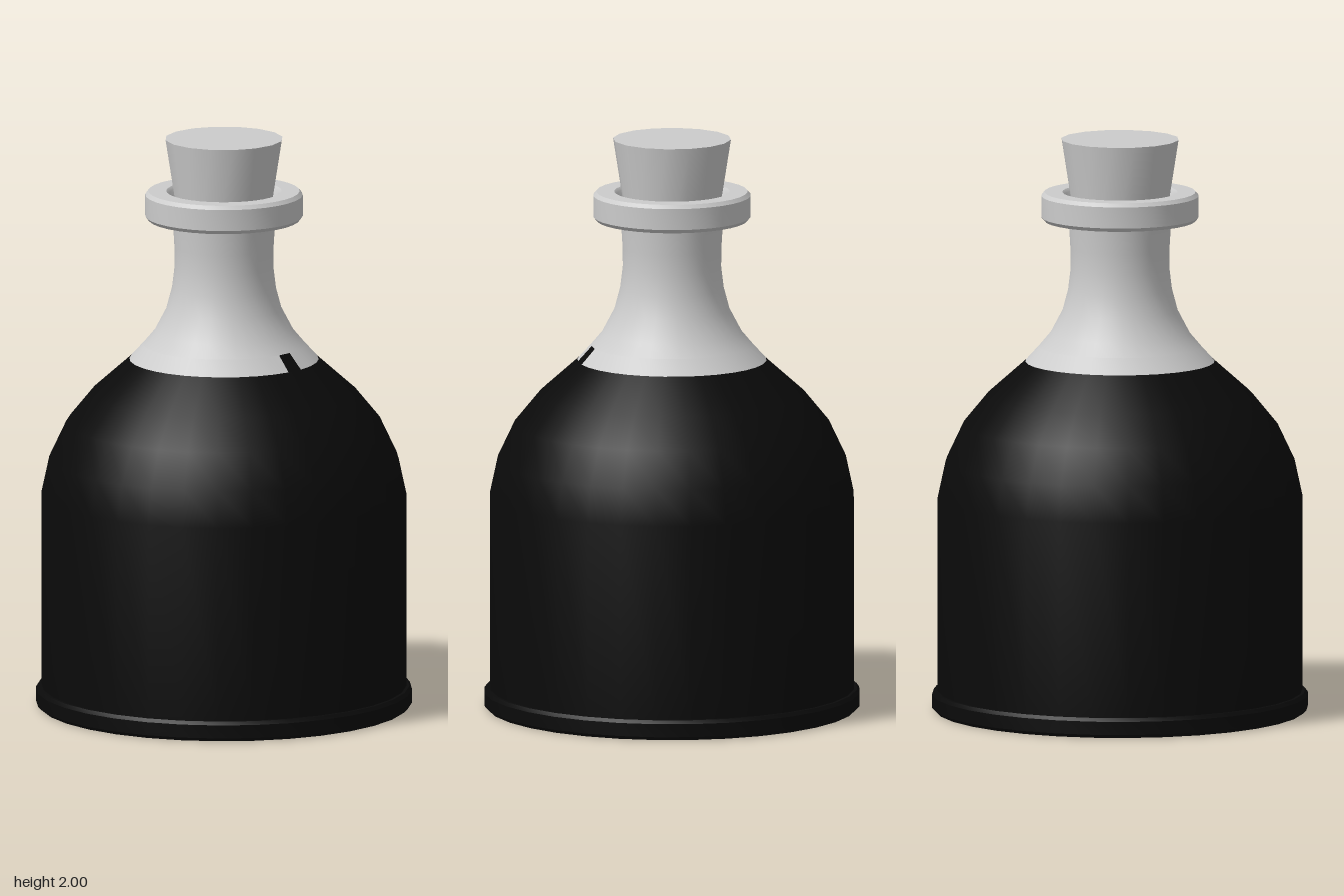
import * as THREE from 'three';
import { toCreasedNormals } from 'three/addons/utils/BufferGeometryUtils.js';

const SIDES = 32;
const STEP = (Math.PI * 2) / SIDES;

export function createModel() {
  const model = new THREE.Group();
  model.name = 'corkedBottle';
  const grey = new THREE.MeshStandardMaterial({ color: 0xcccccc });
  const black = new THREE.MeshStandardMaterial({ color: 0x0a0a0a });

  const add = (name, geometry, material) => {
    const mesh = new THREE.Mesh(toCreasedNormals(geometry, 0.6), material);
    mesh.name = name;
    model.add(mesh);
    return mesh;
  };

  // Revolves a [radius, height] profile, optionally over part of the turn
  const turn = (name, profile, material, columns = SIDES, start = 0) => add(
    name,
    new THREE.LatheGeometry(profile.map(([r, y]) => new THREE.Vector2(r, y)),
      columns, start * STEP, columns * STEP),
    material);

  // Dark lower bottle: flat underside, bevelled foot, straight wall, shoulder
  turn('body', [
    [0, 0], [0.64, 0], [0.652, 0.012], [0.652, 0.058], [0.643, 0.07], [0.632, 0.07],
    [0.632, 0.75], [0.605, 0.875], [0.546, 1.0], [0.46, 1.105], [0.328, 1.222],
  ], black);

  // Lowest band of the neck, with one dark column at the front
  const band = [[0.328, 1.222], [0.28, 1.275]];
  turn('neckBase', band, grey, SIDES - 1, 0);
  turn('neckStain', band, black, 1, -1);

  // Flared neck
  turn('neck', [
    [0.28, 1.275], [0.242, 1.32], [0.2, 1.4], [0.18, 1.475], [0.171, 1.55], [0.172, 1.62], [0.178, 1.72],
  ], grey);

  // Bevelled ring at the mouth, continuing into the inner wall
  turn('lip', [
    [0.178, 1.715], [0.262, 1.715], [0.273, 1.728], [0.273, 1.802], [0.262, 1.815],
    [0.2, 1.815], [0.19, 1.805], [0.165, 1.72], [0.15, 1.6], [0, 1.6],
  ], grey);

  // Tapered stopper
  const cork = add('cork', new THREE.CylinderGeometry(0.205, 0.15, 0.35, 16), grey);
  cork.position.y = 1.825;

  return model;
}
